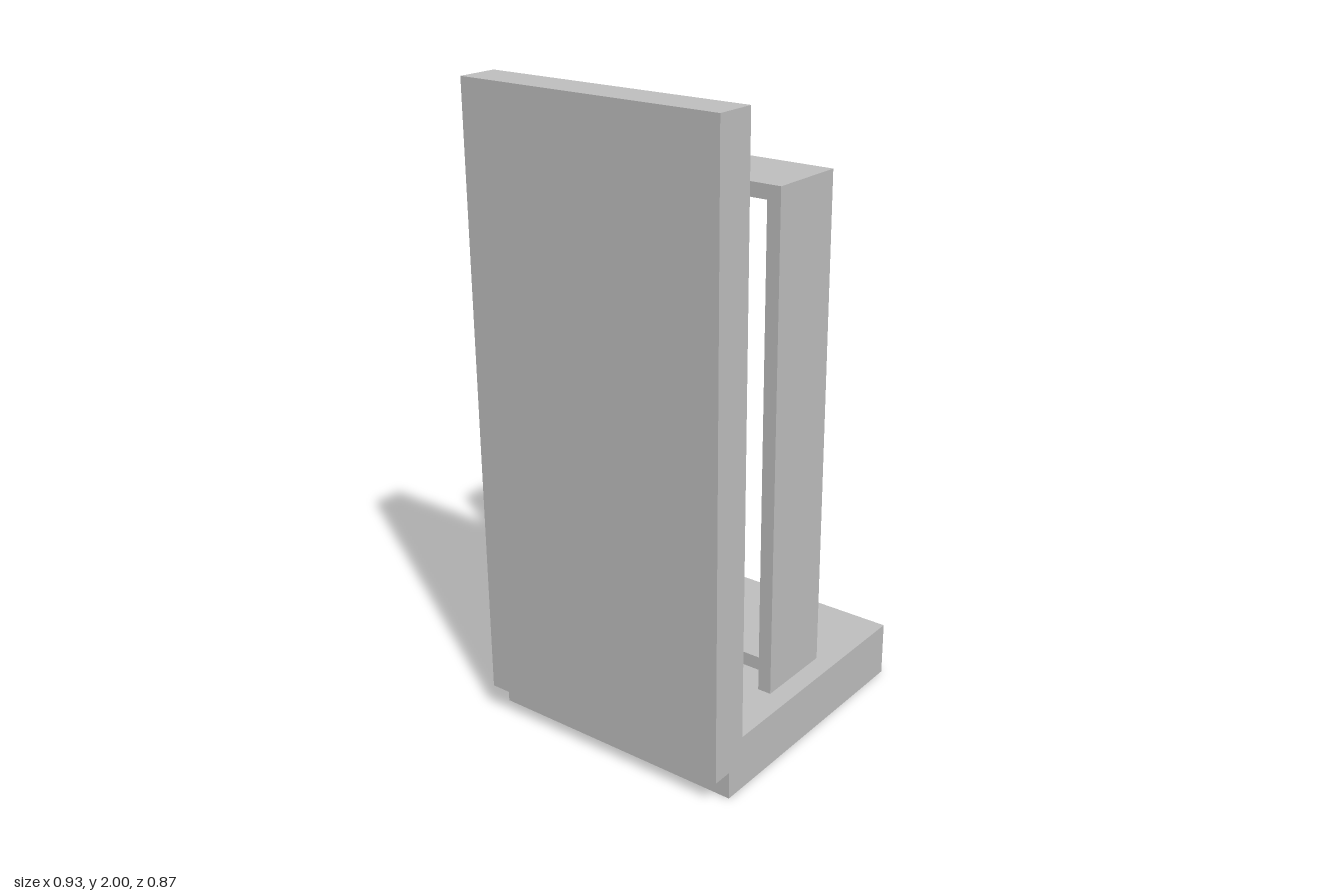
import * as THREE from 'three';

const polygon = (points) => points.map(([x, y]) => new THREE.Vector2(x, y));

export function createModel() {
  const group = new THREE.Group();
  const grey = new THREE.MeshStandardMaterial({ color: 0xc0c0c0 });
  grey.name = 'light grey';

  const addExtrusion = (name, shape, depth) => {
    const geometry = new THREE.ExtrudeGeometry(shape, { depth, bevelEnabled: false });
    geometry.translate(0, 0, -depth / 2);
    const mesh = new THREE.Mesh(geometry, grey);
    mesh.name = name;
    group.add(mesh);
    return mesh;
  };

  // Base slab and upright back panel, one stepped L profile
  const baseTop = 0.175;
  const profile = new THREE.Shape(polygon([
    [-0.402, 0], [0.467, 0], [0.467, baseTop], [-0.338, baseTop],
    [-0.338, 2], [-0.467, 2], [-0.467, 0.088], [-0.402, 0.088],
  ]));
  addExtrusion('baseAndBackPanel', profile, 0.868);

  // Open frame: two posts, top bar and a low crossbar raised off the base
  const outer = 0.369, inner = 0.325;
  const outline = new THREE.Shape(polygon([
    [-outer, baseTop], [-inner, baseTop], [-inner, 0.243], [inner, 0.243],
    [inner, baseTop], [outer, baseTop], [outer, 1.741], [-outer, 1.741],
  ]));
  outline.holes.push(new THREE.Path(polygon([
    [-inner, 0.286], [-inner, 1.698], [inner, 1.698], [inner, 0.286],
  ])));
  const frame = addExtrusion('frame', outline, 0.26);
  frame.rotation.y = Math.PI / 2;
  frame.position.x = 0.031;

  return group;
}
